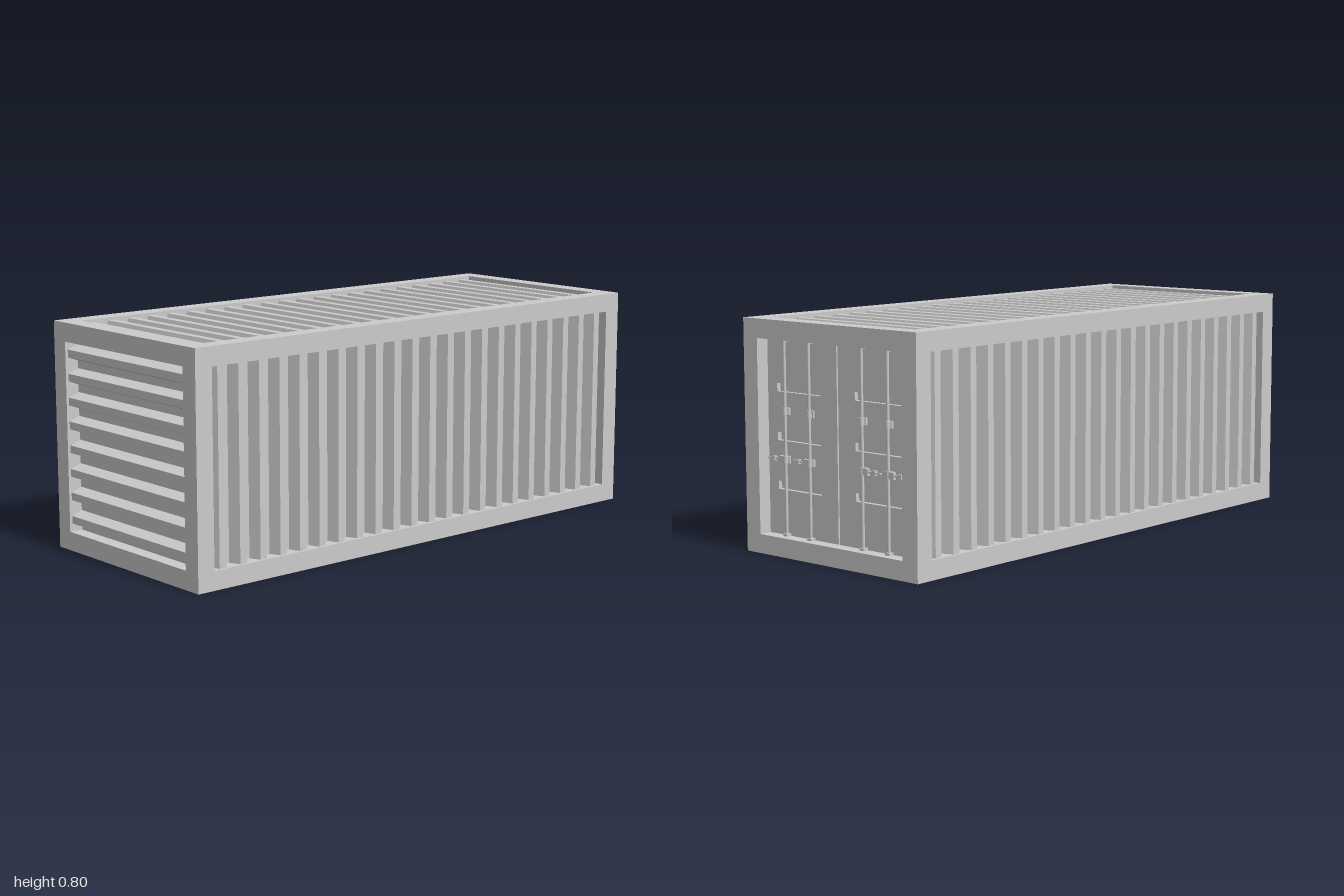
import * as THREE from 'three';

const L = 2, S = 0.8, BAR = 0.066;          // length, section, frame bar
const IN_L = L - 2 * BAR, IN_S = S - 2 * BAR; // frame openings
const mat = new THREE.MeshStandardMaterial({ color: 0xcccccc, flatShading: true });
const smooth = new THREE.MeshStandardMaterial({ color: 0xcccccc });

function add(parent, name, geo, x = 0, y = 0, z = 0, material = mat) {
  const m = new THREE.Mesh(geo, material);
  m.name = name;
  m.position.set(x, y, z);
  parent.add(m);
  return m;
}
const box = (x, y, z) => new THREE.BoxGeometry(x, y, z);
const rod = (r, h) => new THREE.CylinderGeometry(r, r, h, 16);

// Trapezoid-ribbed panel: ribs repeat along x, run along z, face +y (crest at y = 0)
function corrugated(length, periods) {
  const p = length / periods, depth = 0.04, s = new THREE.Shape();
  s.moveTo(-length / 2, -0.05);
  s.lineTo(length / 2, -0.05);
  s.lineTo(length / 2, -depth);
  for (let i = periods - 1; i >= 0; i--) {
    const x = -length / 2 + i * p;
    s.lineTo(x + p * 0.84, -depth);
    s.lineTo(x + p * 0.66, 0);
    s.lineTo(x + p * 0.34, 0);
    s.lineTo(x + p * 0.16, -depth);
  }
  s.lineTo(-length / 2, -depth);
  const g = new THREE.ExtrudeGeometry(s, { depth: IN_S, bevelEnabled: false });
  return g.translate(0, 0, -IN_S / 2);
}

function rect(path, x0, y0, x1, y1) {
  path.moveTo(x0, y0);
  path.lineTo(x1, y0);
  path.lineTo(x1, y1);
  path.lineTo(x0, y1);
  path.closePath();
  return path;
}

// One door leaf with three recessed grooves, built on the +z side or the -z side
function doorLeaf(side) {
  const leaf = new THREE.Group();
  leaf.name = side > 0 ? 'frontDoor' : 'backDoor';
  const span = (a, b) => [Math.min(-side * a, -side * b), Math.max(-side * a, -side * b)];
  const [a, b] = span(0.003, IN_S / 2);
  const s = rect(new THREE.Shape(), a, BAR, b, S - BAR);
  const [c, d] = span(0.08, 0.289);
  for (const y of [0.235, 0.402, 0.568]) s.holes.push(rect(new THREE.Path(), c, y - 0.014, d, y + 0.014));
  const g = new THREE.ExtrudeGeometry(s, { depth: 0.015, bevelEnabled: false });
  add(leaf, 'doorPanel', g, 0.938, 0, 0).rotation.y = Math.PI / 2;

  // Locking rods with end keepers, guide collars and handles
  const X = 0.964;
  for (const r of [0.123, 0.24]) {
    const z = side * r;
    add(leaf, 'lockRod', rod(0.005, IN_S), X, S / 2, z, smooth);
    for (const y of [BAR + 0.004, S - BAR - 0.004]) add(leaf, 'rodKeeper', box(0.024, 0.008, 0.018), X - 0.002, y, z);
    for (const y of [0.327, 0.491]) {
      add(leaf, 'rodCollar', rod(0.009, 0.024), X, y, z, smooth);
      add(leaf, 'collarBase', box(0.01, 0.024, 0.027), X - 0.008, y, z);
    }
    const part = (name, from, to, h, t) =>
      add(leaf, name, box(t, h, to - from), X, 0.327, side * (r + (from + to) / 2));
    part('handleBracket', 0.006, 0.028, 0.024, 0.012);
    part('handleBar', 0.028, 0.085, 0.006, 0.006);
    part('handleCatch', 0.049, 0.062, 0.016, 0.012);
  }
  return leaf;
}

export function createModel() {
  const model = new THREE.Group();
  model.name = 'shippingContainer';

  // Frame of twelve bars
  const frame = new THREE.Group();
  frame.name = 'frame';
  model.add(frame);
  const e = (S - BAR) / 2, ex = (L - BAR) / 2;
  for (const a of [-1, 1]) {
    for (const b of [-1, 1]) {
      add(frame, 'longRail', box(L, BAR, BAR), 0, S / 2 + a * e, b * e);
      add(frame, 'cornerPost', box(BAR, IN_S, BAR), a * ex, S / 2, b * e);
      add(frame, 'crossRail', box(BAR, BAR, IN_S), a * ex, S / 2 + b * e, 0);
    }
  }

  // Ribbed panels, crests set just inside the frame
  const long = corrugated(IN_L, 22), inset = 0.01, h = S / 2 - inset;
  add(model, 'roof', long, 0, S - inset, 0);
  add(model, 'floor', long, 0, inset, 0).rotation.x = Math.PI;
  add(model, 'frontWall', long, 0, S / 2, h).rotation.x = Math.PI / 2;
  add(model, 'backWall', long, 0, S / 2, -h).rotation.x = -Math.PI / 2;
  add(model, 'endWall', corrugated(IN_S, 8), -L / 2 + inset, S / 2, 0).rotation.z = Math.PI / 2;

  // Doors over a backing sheet that closes the grooves and the seam
  add(model, 'doorBacking', box(0.004, IN_S, IN_S), 0.936, S / 2, 0);
  model.add(doorLeaf(1), doorLeaf(-1));
  return model;
}
